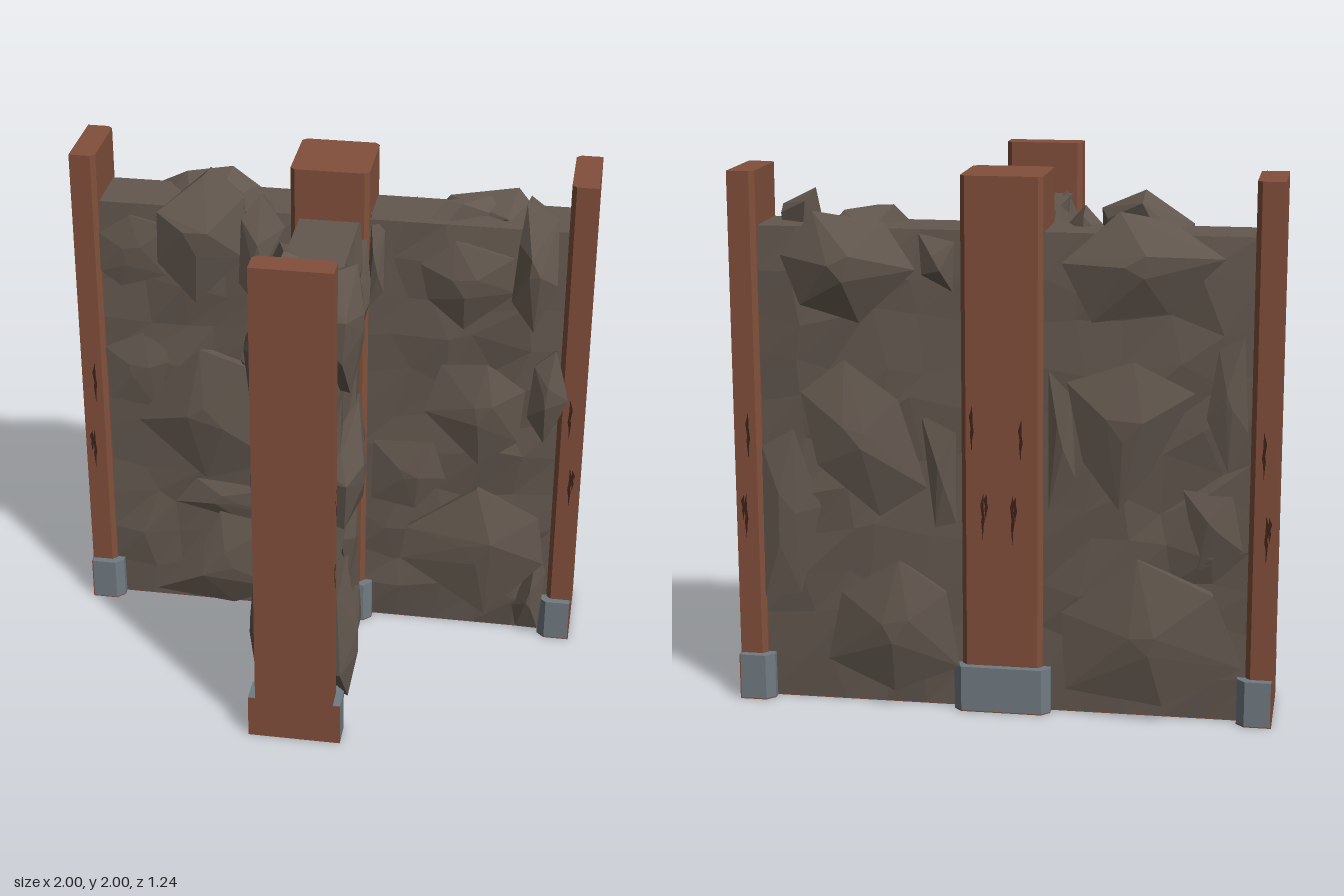
import * as THREE from 'three';
import { ConvexGeometry } from 'three/addons/geometries/ConvexGeometry.js';

const mat = (name, color, side = THREE.FrontSide) => {
  const m = new THREE.MeshStandardMaterial({ color, side });
  m.name = name;
  return m;
};

// Each rock: [depth, u,v, u,v, ...] outline on the wall face, u to the right, v up.
const frontLeftRocks = [
  [0.10, -0.51, 1.22, -0.33, 1.16, -0.21, 0.72, -0.50, 0.62, -0.77, 0.87, -0.63, 1.10],
  [0.10, -0.66, 1.80, -0.49, 1.93, -0.33, 1.86, -0.33, 1.62, -0.52, 1.42, -0.67, 1.58],
  [0.09, -0.27, 1.87, -0.17, 1.76, -0.20, 1.52, -0.28, 1.42, -0.35, 1.52, -0.34, 1.78],
  [0.07, -0.32, 1.35, -0.23, 1.34, -0.16, 1.05, -0.19, 0.82, -0.28, 0.95, -0.35, 1.18],
  [0.09, -0.45, 0.46, -0.22, 0.42, -0.19, 0.12, -0.40, 0.01, -0.73, 0.05, -0.52, 0.30],
  [0.05, -0.90, 1.68, -0.78, 1.76, -0.62, 1.72, -0.64, 1.52, -0.82, 1.46, -0.90, 1.52],
  [0.04, -0.90, 1.18, -0.75, 1.25, -0.60, 1.15, -0.70, 0.92, -0.89, 0.95],
  [0.045, -0.55, 0.60, -0.22, 0.58, -0.17, 0.46, -0.36, 0.42, -0.64, 0.48],
];
const frontRightRocks = [
  [0.10, 0.74, 1.91, 0.86, 1.85, 0.87, 1.60, 0.79, 1.40, 0.70, 1.52, 0.72, 1.76],
  [0.08, 0.35, 1.65, 0.48, 1.75, 0.70, 1.69, 0.72, 1.55, 0.52, 1.38, 0.38, 1.50],
  [0.09, 0.44, 1.22, 0.62, 1.24, 0.77, 1.13, 0.75, 0.90, 0.60, 0.79, 0.38, 1.02],
  [0.08, 0.88, 1.32, 0.94, 1.10, 0.85, 0.90, 0.78, 1.02, 0.80, 1.25],
  [0.10, 0.32, 0.48, 0.60, 0.68, 0.85, 0.55, 0.88, 0.35, 0.65, 0.08, 0.30, 0.33],
  [0.05, 0.18, 0.85, 0.42, 0.86, 0.47, 0.70, 0.35, 0.55, 0.17, 0.58],
  [0.07, 0.85, 0.38, 0.89, 0.30, 0.87, 0.03, 0.78, 0.02, 0.76, 0.12],
  [0.07, 0.15, 1.82, 0.21, 1.76, 0.21, 1.52, 0.15, 1.45],
];
const backLeftRocks = [ // behind the model's left (+x) wing
  [0.11, -0.81, 1.70, -0.69, 1.86, -0.43, 1.82, -0.31, 1.66, -0.52, 1.46, -0.74, 1.52],
  [0.10, -0.74, 1.20, -0.58, 1.32, -0.38, 1.18, -0.27, 0.86, -0.45, 0.74, -0.68, 0.93],
  [0.12, -0.60, 0.44, -0.38, 0.58, -0.20, 0.46, -0.15, 0.18, -0.40, 0.07, -0.66, 0.17],
  [0.06, -0.30, 1.79, -0.17, 1.76, -0.18, 1.58, -0.29, 1.64],
  [0.05, -0.90, 0.98, -0.78, 1.05, -0.68, 0.76, -0.76, 0.42, -0.90, 0.40],
  [0.05, -0.30, 1.12, -0.17, 1.06, -0.17, 0.72, -0.25, 0.70],
];
const backRightRocks = [ // behind the model's right (-x) wing
  [0.11, 0.22, 1.70, 0.42, 1.88, 0.60, 1.85, 0.80, 1.73, 0.60, 1.53, 0.33, 1.49],
  [0.10, 0.24, 1.27, 0.48, 1.35, 0.70, 1.24, 0.54, 0.94, 0.43, 0.80, 0.30, 0.98],
  [0.125, 0.22, 0.40, 0.50, 0.62, 0.78, 0.50, 0.89, 0.22, 0.60, 0.07, 0.24, 0.11],
  [0.06, 0.78, 1.40, 0.87, 1.45, 0.89, 1.10, 0.82, 0.95, 0.74, 1.15],
  [0.05, 0.66, 0.88, 0.84, 0.86, 0.88, 0.66, 0.72, 0.58],
  [0.05, 0.17, 1.30, 0.25, 1.22, 0.27, 0.90, 0.17, 0.78],
];
const stemLeftRocks = [ // +x face, u = -z
  [0.10, -0.27, 1.84, -0.50, 1.75, -0.53, 1.60, -0.40, 1.42, -0.18, 1.40, 0.00, 1.62, -0.10, 1.79],
  [0.11, -0.45, 1.18, -0.05, 1.19, 0.01, 1.00, -0.10, 0.80, -0.50, 0.90, -0.53, 1.10],
  [0.11, -0.49, 0.77, -0.37, 0.42, -0.46, 0.11, -0.53, 0.25, -0.53, 0.60],
  [0.05, 0.00, 1.13, 0.17, 1.10, 0.20, 0.85, 0.04, 0.80],
  [0.06, -0.35, 0.27, -0.22, 0.30, 0.10, 0.25, 0.15, 0.06, -0.28, 0.02],
  [0.06, 0.20, 1.75, 0.08, 1.62, 0.04, 1.44, 0.20, 1.40],
  [0.05, -0.30, 0.72, 0.06, 0.70, 0.16, 0.50, -0.16, 0.42],
];
const stemRightRocks = [ // -x face, u = z
  [0.12, -0.10, 1.76, 0.10, 1.82, 0.32, 1.72, 0.28, 1.48, 0.06, 1.38, -0.12, 1.52],
  [0.09, 0.34, 1.70, 0.46, 1.82, 0.52, 1.62, 0.48, 1.36, 0.36, 1.44],
  [0.10, 0.05, 1.18, 0.35, 1.24, 0.52, 1.05, 0.42, 0.80, 0.10, 0.82, -0.02, 1.00],
  [0.10, -0.18, 0.50, 0.08, 0.66, 0.28, 0.48, 0.26, 0.20, 0.02, 0.07, -0.16, 0.20],
  [0.09, 0.34, 0.58, 0.50, 0.66, 0.53, 0.30, 0.46, 0.08, 0.34, 0.20],
  [0.05, -0.20, 1.15, -0.06, 1.10, -0.05, 0.84, -0.20, 0.80],
];

export function createModel() {
  const model = new THREE.Group();
  const wood = mat('red brown wood', 0x814f3b);
  const stone = mat('dark stone', 0x63584f);
  const metal = mat('grey metal', 0x707b82);
  const crackDark = mat('crack brown', 0x3c2218, THREE.DoubleSide);

  let seed = 7;
  const rnd = () => (seed = (seed * 16807) % 2147483647) / 2147483647;

  const add = (parent, geo, material, name) => {
    const m = new THREE.Mesh(geo, material);
    m.name = name;
    parent.add(m);
    return m;
  };
  const box = (parent, x0, x1, y0, y1, z0, z1, material, name) => add(parent,
    new THREE.BoxGeometry(x1 - x0, y1 - y0, z1 - z0)
      .translate((x0 + x1) / 2, (y0 + y1) / 2, (z0 + z1) / 2), material, name);

  // Upright prism; cl and cr are the corner cuts on its -x and +x sides
  function prism(parent, x0, x1, z, y0, y1, cl, cr, material, name) {
    const pts = [[x0 + cl, -z], [x1 - cr, -z], [x1, -z + cr], [x1, z - cr],
      [x1 - cr, z], [x0 + cl, z], [x0, z - cl], [x0, -z + cl]];
    const shape = new THREE.Shape(pts.map(p => new THREE.Vector2(...p)));
    const geo = new THREE.ExtrudeGeometry(shape, { depth: y1 - y0, bevelEnabled: false });
    return add(parent, geo.rotateX(-Math.PI / 2).translate(0, y0, 0), material, name);
  }

  // Jagged sliver lying on a post face; dir is +1 for +z and -1 for -z
  function crack(parent, x, y, h, z, dir) {
    const s = new THREE.Shape([[0, -h / 2], [0.006, -h * 0.1], [0.003, 0], [0.009, h * 0.25],
      [-0.003, h / 2], [-0.004, h * 0.15], [-0.008, -h * 0.05], [-0.003, -h * 0.2]]
      .map(p => new THREE.Vector2(...p)));
    add(parent, new THREE.ShapeGeometry(s), crackDark, 'woodCrack').position.set(x, y, z + dir * 0.002);
  }

  // Faceted boulder: convex hull of the outline, a sunken root and a raised crown,
  // leaning back where it rises above the wall
  function rock(parent, [depth, ...uv]) {
    const pts = [], n = uv.length / 2;
    let cu = 0, cv = 0;
    for (let i = 0; i < n; i++) { cu += uv[2 * i] / n; cv += uv[2 * i + 1] / n; }
    const ring = (i, s, w) => {
      const v = cv + (uv[2 * i + 1] - cv) * s;
      pts.push(new THREE.Vector3(cu + (uv[2 * i] - cu) * s, v, v > 1.8 ? w - 0.05 : w));
    };
    for (let i = 0; i < n; i++) {
      ring(i, 0.7 + 0.2 * rnd(), -0.03 - 0.09 * rnd());
      ring(i, 1, depth * (0.3 + 0.35 * rnd()));
      if (i % 2 === 0) ring(i, 0.08 + 0.27 * rnd(), depth * (0.9 + 0.1 * rnd()));
    }
    add(parent, new ConvexGeometry(pts), stone, 'boulder');
  }

  // Uneven stone face between u0 and u1, with boulders on it
  function wallFace(name, x, z, turn, u0, u1, rocks) {
    const g = new THREE.Group();
    g.name = name;
    g.position.set(x, 0, z);
    g.rotation.y = turn;
    const nx = 5, ny = 11;
    const geo = new THREE.PlaneGeometry(u1 - u0, 1.796, nx, ny).translate((u0 + u1) / 2, 0.902, 0.002);
    const p = geo.attributes.position;
    for (let j = 1; j < ny; j++) for (let i = 0; i <= nx; i++) {
      const k = j * (nx + 1) + i, inner = i > 0 && i < nx;
      if (inner) p.setXY(k, p.getX(k) + (rnd() - 0.5) * 0.1, p.getY(k) + (rnd() - 0.5) * 0.1);
      p.setZ(k, 0.002 + (inner ? 0.032 : 0.012) * rnd());
    }
    const flat = geo.toNonIndexed();
    flat.computeVertexNormals();
    add(g, flat, stone, 'roughStoneFace');
    rocks.forEach(r => rock(g, r));
    model.add(g);
  }

  // Wall cores with wooden sills underneath
  const crossZ = -0.38, half = 0.115, f = 0.004;
  box(model, -0.92, 0.92, f, 1.8, crossZ - half, crossZ + half, stone, 'crossWall');
  box(model, -half, half, f, 1.8, crossZ + half, 0.54, stone, 'stemWall');
  box(model, -0.9, 0.9, 0, f, crossZ - half, crossZ + half, wood, 'crossSill');
  box(model, -half, half, 0, f, crossZ + half, 0.54, wood, 'stemSill');

  const front = crossZ + half, back = crossZ - half;
  wallFace('frontRightFace', 0, front, 0, -0.91, -0.12, frontLeftRocks);
  wallFace('frontLeftFace', 0, front, 0, 0.12, 0.91, frontRightRocks);
  wallFace('backLeftFace', 0, back, Math.PI, -0.91, -0.14, backLeftRocks);
  wallFace('backRightFace', 0, back, Math.PI, 0.14, 0.91, backRightRocks);
  wallFace('stemLeftFace', half, 0, Math.PI / 2, -0.53, 0.24, stemLeftRocks);
  wallFace('stemRightFace', -half, 0, -Math.PI / 2, -0.24, 0.53, stemRightRocks);

  // Slanting slab lying on top of the left wing
  const slab = new THREE.Group();
  slab.name = 'topSlab';
  slab.position.set(0.5, 1.8, crossZ);
  slab.rotation.y = 0.25;
  const slabPts = [[-0.17, -0.03, 0.05], [0.16, -0.03, -0.06], [0.17, -0.03, 0.01], [-0.1, -0.03, 0.08],
    [-0.08, 0.065, 0.02], [0.1, 0.055, -0.03], [-0.02, 0.06, 0.05], [0.02, -0.03, -0.06]];
  add(slab, new ConvexGeometry(slabPts.map(p => new THREE.Vector3(...p))), stone, 'boulder');
  model.add(slab);

  // Half posts at the three ends, outer face towards local +x
  const ends = [['leftPost', 1, crossZ, 0], ['rightPost', -1, crossZ, Math.PI], ['frontPost', 0, 0.62, -Math.PI / 2]];
  for (const [name, x, z, turn] of ends) {
    const g = new THREE.Group();
    g.name = name;
    g.position.set(x, 0, z);
    g.rotation.y = turn;
    prism(g, -0.1, 0, 0.15, 0.1, 2, 0.018, 0, wood, 'post');
    prism(g, -0.13, -f, 0.178, f, 0.175, 0.03, 0, metal, 'postShoe');
    prism(g, -0.13, 0, 0.178, 0, f, 0.03, 0, wood, 'shoeUnderside');
    box(g, -f, 0, f, 0.175, -0.178, 0.178, wood, 'shoeEnd');
    for (const d of [-1, 1]) {
      crack(g, -0.036, 0.71, 0.18, d * 0.15, d);
      crack(g, -0.026, 0.745, 0.1, d * 0.15, d);
      crack(g, -0.052, 1.02, 0.18, d * 0.15, d);
    }
    model.add(g);
  }

  // Full post where the walls meet
  const centre = new THREE.Group();
  centre.name = 'centrePost';
  centre.position.z = crossZ;
  prism(centre, -0.15, 0.15, 0.15, 0.1, 2, 0.018, 0.018, wood, 'post');
  prism(centre, -0.18, 0.18, 0.178, f, 0.175, 0.03, 0.03, metal, 'postShoe');
  prism(centre, -0.18, 0.18, 0.178, 0, f, 0.03, 0.03, wood, 'shoeUnderside');
  for (const [x, y, h] of [[0.11, 1.08, 0.18], [0.07, 0.75, 0.18], [0.058, 0.79, 0.1], [-0.04, 0.74, 0.2], [-0.05, 0.78, 0.1], [-0.07, 1.04, 0.16]])
    crack(centre, x, y, h, -0.15, -1);
  model.add(centre);

  return model;
}
